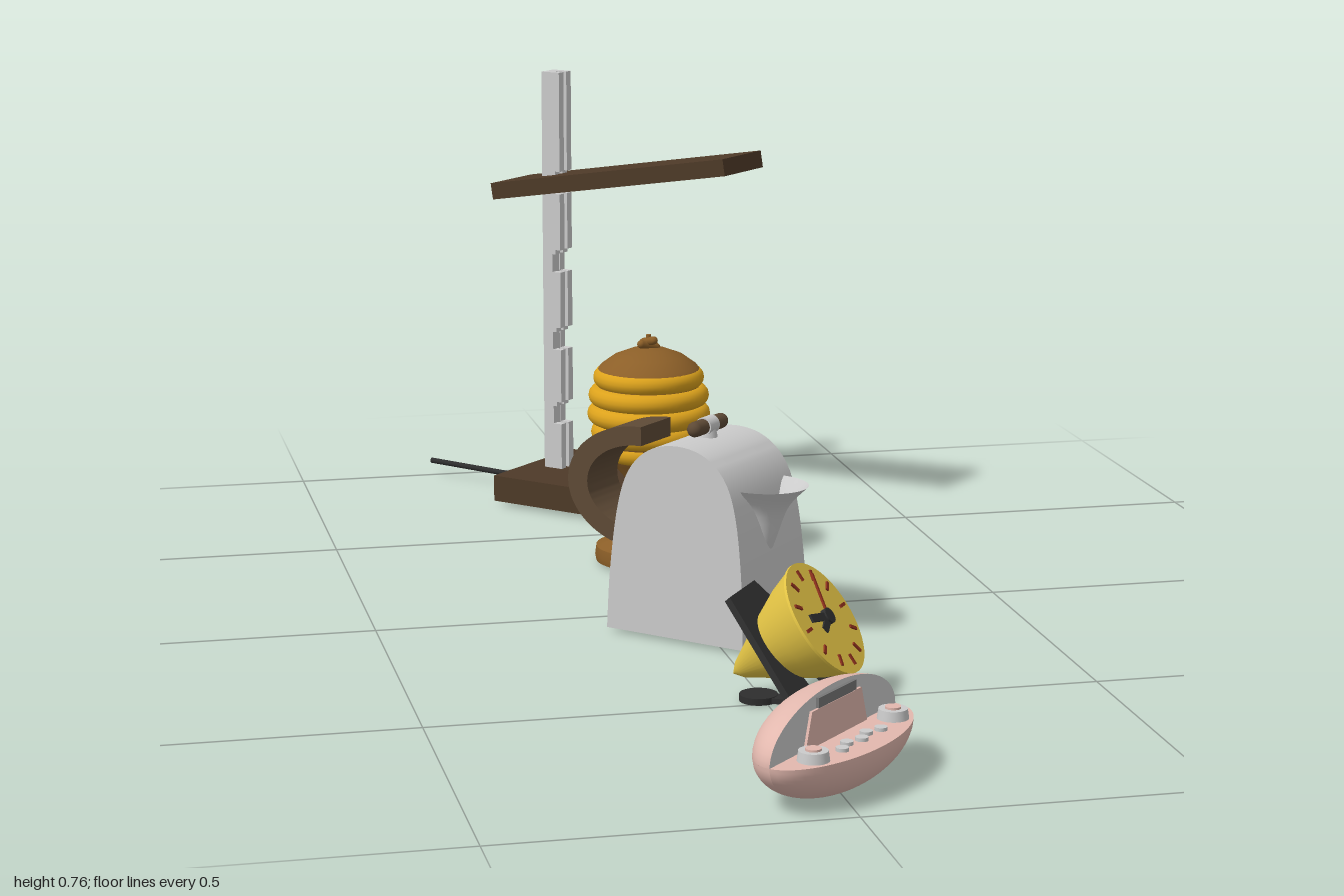
import * as THREE from 'three';
import { toCreasedNormals } from 'three/addons/utils/BufferGeometryUtils.js';

const mat = (color) => new THREE.MeshStandardMaterial({ color, side: THREE.DoubleSide });
const GREY = mat(0xcccccc), DARK = mat(0x2e2e2e), WOOD = mat(0x4e3a28), TAN = mat(0x5e4a36),
  HONEY = mat(0xdca21c), OAK = mat(0x8c5f28), YELLOW = mat(0xe3c445), PINK = mat(0xe2b8ae), RED = mat(0x8a2f1c);
const V2 = (x, y) => new THREE.Vector2(x, y);

function add(parent, name, geo, material, x = 0, y = 0, z = 0) {
  const m = new THREE.Mesh(geo, material);
  m.name = name;
  m.position.set(x, y, z);
  parent.add(m);
  return m;
}
function group(parent, name, x, z, yaw) {
  const g = new THREE.Group();
  g.name = name;
  g.position.set(x, 0, z);
  g.rotation.y = yaw;
  parent.add(g);
  return g;
}
const box = (w, h, d) => new THREE.BoxGeometry(w, h, d);
const cyl = (r1, r2, h, n = 32) => new THREE.CylinderGeometry(r1, r2, h, n);

// Side profile drawn in (z, y), extruded across x and centred
function extrudeAcross(shape, width) {
  const g = new THREE.ExtrudeGeometry(shape, { depth: width, bevelEnabled: false, curveSegments: 24 });
  return toCreasedNormals(g.translate(0, 0, -width / 2).rotateY(-Math.PI / 2), 0.6);
}
function polygon(points) {
  return new THREE.Shape(points.map(([x, y]) => V2(x, y)));
}
// Shallow tray, open underneath, with a panel recessed into it
function tray(parent, name, w, h, d, rim, panelStart = 0) {
  const t = h * 0.35;
  add(parent, name + 'Top', box(w, t, d), WOOD, 0, h / 2 - t / 2, 0);
  for (const s of [-1, 1]) {
    add(parent, name + 'Side', box(rim, h, d), WOOD, s * (w - rim) / 2, 0, 0);
    add(parent, name + 'End', box(w, h, rim), WOOD, 0, 0, s * (d - rim) / 2);
  }
  const len = (d - 2 * rim) * (1 - panelStart);
  add(parent, name + 'Panel', box(w - 2 * rim, 0.004, len), GREY, 0, -h * 0.3, (d - 2 * rim - len) / 2);
}

function buildRadio(root) {
  const g = group(root, 'radio', 0, 0.868, Math.PI / 4);
  const A = 0.168, H = 0.073, B = 0.078, Y = 0.07;
  const lower = new THREE.SphereGeometry(1, 48, 20, 0, Math.PI * 2, Math.PI / 2, Math.PI / 2);
  const p = lower.attributes.position;
  for (let i = 0; i < p.count; i++) p.setY(i, Math.max(p.getY(i), -0.9));
  lower.scale(A, H, B).computeVertexNormals();
  add(g, 'radioLowerShell', lower, PINK, 0, Y, 0);
  const upper = new THREE.SphereGeometry(1, 32, 14, Math.PI, Math.PI, 0, Math.PI / 2).scale(A, H, B);
  add(g, 'radioBackShell', upper, PINK, 0, Y, 0);
  add(g, 'radioFace', new THREE.CircleGeometry(1, 40, 0, Math.PI).scale(A, H, 1), GREY, 0, Y, 0);
  add(g, 'radioShelf', new THREE.CircleGeometry(1, 40, Math.PI, Math.PI).rotateX(-Math.PI / 2).scale(A, 1, B), PINK, 0, Y, 0);
  // Tuning panel and display window
  add(g, 'tuningPanel', new THREE.ExtrudeGeometry(polygon([[-0.082, 0], [0.082, 0], [0.066, 0.05], [-0.066, 0.05]]),
    { depth: 0.004, bevelEnabled: false }), PINK, 0, Y, 0);
  add(g, 'display', box(0.1, 0.014, 0.006), mat(0x777777), 0, Y + 0.058, 0.002);
  for (const s of [-1, 1]) {
    add(g, 'knob', cyl(0.02, 0.022, 0.014), GREY, s * 0.107, Y + 0.007, 0.03);
    add(g, 'knobCap', cyl(0.011, 0.011, 0.004), PINK, s * 0.107, Y + 0.015, 0.03);
  }
  for (let i = -2; i <= 2; i++) {
    add(g, 'button', cyl(0.009, 0.009, 0.006, 16), GREY, i * 0.026, Y + 0.002, 0.042 - 0.008 * Math.abs(i % 2));
  }
}

function buildClock(root) {
  const yaw = 0.97, tilt = 0.61;
  const g = group(root, 'clock', 0.075, 0.535, yaw);
  // Leaning trapezoid plate with a notch between its two feet
  const plate = new THREE.ExtrudeGeometry(polygon([[-0.115, 0], [-0.03, 0], [-0.025, 0.06], [0.025, 0.06], [0.03, 0],
    [0.115, 0], [0.05, 0.205], [-0.05, 0.205]]), { depth: 0.01, bevelEnabled: false });
  add(g, 'standPlate', plate, DARK, 0, 0.006, 0.005).rotation.x = -0.74;
  add(g, 'standBar', box(0.235, 0.008, 0.02), DARK, 0, 0.004, 0.005);
  add(g, 'standStrut', box(0.025, 0.008, 0.1), DARK, 0, 0.005, -0.045);
  add(g, 'standFoot', cyl(0.028, 0.028, 0.01), DARK, 0, 0.005, -0.1);
  // Funnel case with its dial
  const head = new THREE.Group();
  head.name = 'clockHead';
  head.position.set(0, 0.133, 0);
  head.rotation.x = -tilt;
  g.add(head);
  const funnel = new THREE.LatheGeometry([V2(0, -0.17), V2(0.014, -0.155), V2(0.052, -0.085), V2(0.074, -0.04), V2(0.088, 0)], 40);
  add(head, 'clockCase', funnel.rotateX(Math.PI / 2), YELLOW);
  add(head, 'dial', cyl(0.089, 0.089, 0.004, 48).rotateX(Math.PI / 2), YELLOW);
  for (let i = 0; i < 12; i++) {
    const a = i * Math.PI / 6;
    add(head, 'hourMark', box(0.005, 0.017, 0.003), RED, Math.sin(a) * 0.07, Math.cos(a) * 0.07, 0.003).rotation.z = -a;
  }
  for (const [len, a, w, m] of [[0.055, 1.35, 0.012, DARK], [0.035, 1.95, 0.012, DARK], [0.07, -0.45, 0.004, RED]]) {
    add(head, 'hand', box(w, len, 0.003).translate(0, len / 2, 0), m, 0, 0, 0.007).rotation.z = a;
  }
  add(head, 'hub', cyl(0.012, 0.012, 0.01, 20).rotateX(Math.PI / 2), DARK, 0, 0, 0.006);
}

function buildKettle(root) {
  const g = group(root, 'kettle', 0.005, 0.098, Math.PI / 4);
  const half = [[0.123, 0.006], [0.119, 0.1], [0.107, 0.2], [0.087, 0.26], [0.05, 0.295], [0, 0.306]];
  const curve = new THREE.SplineCurve([...half, ...half.slice(0, -1).reverse().map(([z, y]) => [-z, y])].map(([z, y]) => V2(z, y)));
  const body = extrudeAcross(new THREE.Shape(curve.getPoints(48)), 0.19);
  // Sides draw in slightly towards the top
  const p = body.attributes.position;
  for (let i = 0; i < p.count; i++) p.setX(i, p.getX(i) * (1.02 - 0.35 * p.getY(i)));
  add(g, 'kettleBody', body, GREY);
  const lip = new THREE.SplineCurve([V2(0.001, 0.1), V2(0.02, 0.16), V2(0.037, 0.21), V2(0.064, 0.243)]);
  add(g, 'spout', new THREE.LatheGeometry(lip.getPoints(12), 24, -Math.PI / 2, Math.PI).scale(1, 1, 1.15), GREY, 0, 0, 0.098);
  // Broad C-shaped handle
  const c = new THREE.Shape();
  c.absellipse(-0.095, 0.218, 0.136, 0.098, Math.PI / 2, Math.PI * 1.5, false, 0);
  c.absellipse(-0.095, 0.218, 0.1, 0.068, Math.PI * 1.5, Math.PI / 2, true, 0);
  c.closePath();
  add(g, 'kettleHandle', extrudeAcross(c, 0.085), TAN);
  // Lid knob: a crossbar on a small post
  add(g, 'lidPost', cyl(0.012, 0.016, 0.02, 24), GREY, 0, 0.312, 0);
  add(g, 'lidBar', new THREE.CapsuleGeometry(0.012, 0.074, 6, 20).rotateZ(Math.PI / 2), TAN, 0, 0.323, 0);
  add(g, 'lidCollar', cyl(0.014, 0.014, 0.026, 24).rotateZ(Math.PI / 2), GREY, 0, 0.323, 0);
}

function buildHoneyDipperJar(root) {
  const g = group(root, 'beehiveJar', 0, -0.312, 0);
  const stem = [[0, 0.005], [0.088, 0.005], [0.09, 0.015], [0.088, 0.03], [0.06, 0.038], [0.035, 0.055], [0.025, 0.085],
    [0.026, 0.115], [0.04, 0.145], [0.06, 0.17], [0.072, 0.19], [0.085, 0.225], [0.088, 0.26], [0.085, 0.3], [0.075, 0.325]];
  add(g, 'pedestal', toCreasedNormals(new THREE.LatheGeometry(stem.map(([r, y]) => V2(r, y)), 40), 0.8), OAK);
  // Stacked rings
  for (const [r, y] of [[0.064, 0.194], [0.079, 0.223], [0.085, 0.254], [0.083, 0.285], [0.075, 0.315]]) {
    add(g, 'hiveRing', new THREE.TorusGeometry(r, 0.0165, 14, 48).rotateX(Math.PI / 2), HONEY, 0, y, 0);
  }
  const cap = [[0.088, 0.322], [0.08, 0.334], [0.058, 0.35], [0.03, 0.361], [0, 0.364]];
  add(g, 'hiveLid', new THREE.LatheGeometry(cap.reverse().map(([r, y]) => V2(r, y)), 40), OAK);
  // Crossed twigs as the lid knob
  for (let i = 0; i < 2; i++) {
    const twig = add(g, 'lidTwig', new THREE.CapsuleGeometry(0.007, 0.03, 4, 10), OAK, 0, 0.367 + i * 0.007, 0);
    twig.rotation.set(0, 0.4 + i * Math.PI / 2, Math.PI / 2 - 0.25);
  }
  add(g, 'lidStem', cyl(0.004, 0.006, 0.025, 10), OAK, 0, 0.373, 0);
}

function buildLamp(root) {
  const g = group(root, 'lamp', 0.0025, -0.735, Math.PI / 4);
  const base = group(g, 'lampBase', 0, 0, 0);
  base.position.y = 0.03;
  tray(base, 'base', 0.246, 0.046, 0.292, 0.01);
  // Channel-shaped post whose two cheeks are notched at the front
  const F = 0.0185, pts = [[-F, 0.05], [F, 0.05]];
  for (const y of [0.155, 0.29, 0.43, 0.57]) {
    pts.push([F, y - 0.02], [0.002, y - 0.02], [0.002, y + 0.012], [0.009, y + 0.012], [0.009, y + 0.02], [F, y + 0.02]);
  }
  pts.push([F, 0.765], [-F, 0.765]);
  for (const s of [-1, 1]) add(g, 'postCheek', extrudeAcross(polygon(pts), 0.014), GREY, s * 0.0115, 0, -0.09);
  add(g, 'postBack', box(0.012, 0.715, 0.018), GREY, 0, 0.4075, -0.0985);
  // Tilted shade with the light panel beneath
  const shade = group(g, 'lampShade', 0, 0.054, 0);
  shade.position.y = 0.592;
  shade.rotation.x = -0.165;
  tray(shade, 'shade', 0.125, 0.029, 0.488, 0.009, 0.27);
  // Switch and cord
  add(g, 'switch', box(0.014, 0.012, 0.026), DARK, 0.069, 0.057, -0.08);
  add(g, 'cord', cyl(0.005, 0.005, 0.235, 12).rotateX(Math.PI / 2 + 0.02), DARK, 0, 0.025, -0.257);
  add(g, 'cordGrommet', cyl(0.007, 0.007, 0.06, 12).rotateX(Math.PI / 2), DARK, 0, 0.024, -0.17);
}

export function createModel() {
  const root = new THREE.Group();
  root.name = 'householdObjects';
  buildRadio(root);
  buildClock(root);
  buildKettle(root);
  buildHoneyDipperJar(root);
  buildLamp(root);
  return root;
}
